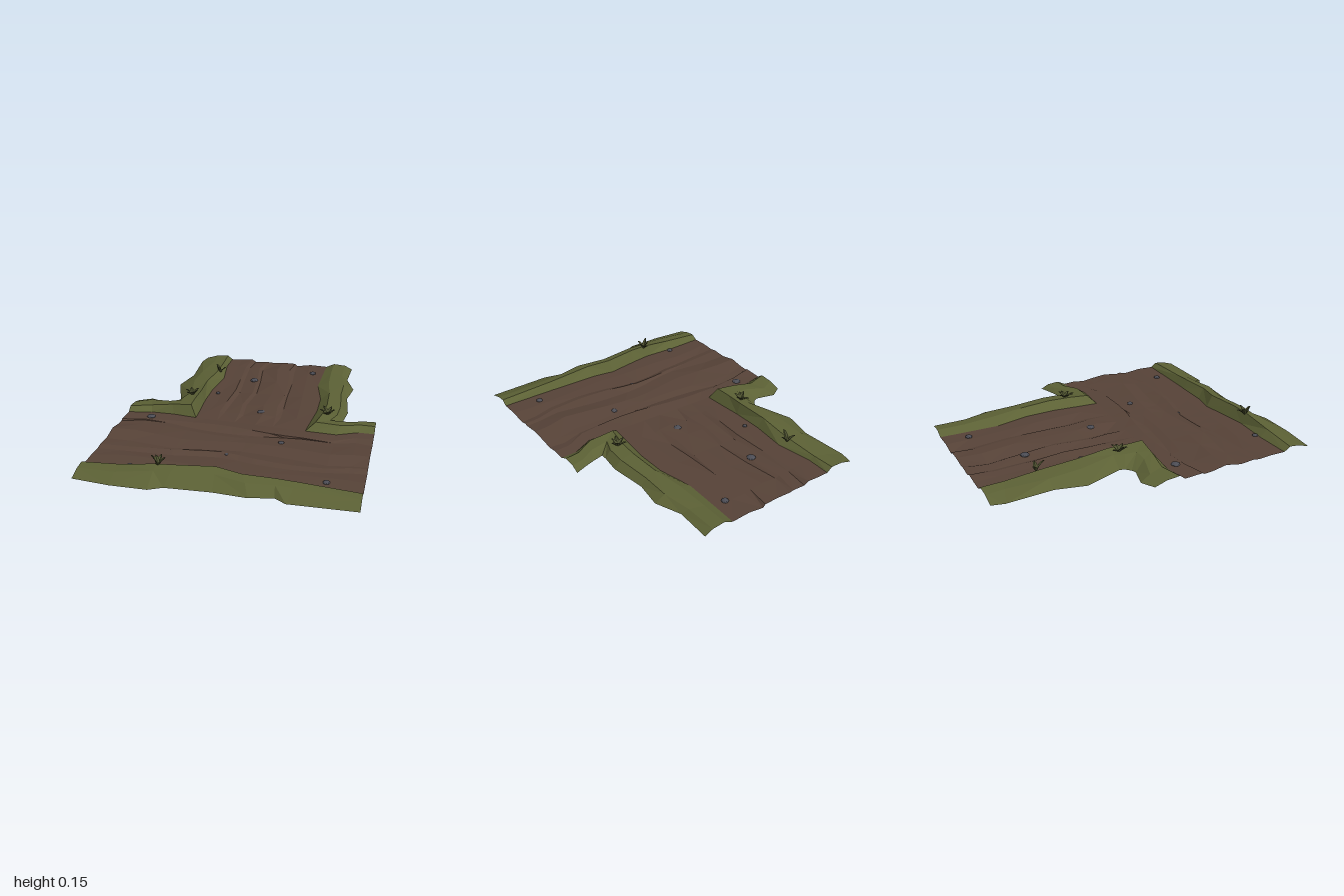
import * as THREE from 'three';

const mat = (name, color) => {
  const m = new THREE.MeshStandardMaterial({ color, flatShading: true, side: THREE.DoubleSide });
  m.name = name;
  return m;
};

let seed = 7;
const rnd = (a, b) => {
  seed = (seed * 16807) % 2147483647;
  return a + (b - a) * (seed / 2147483647);
};

const EDGE = 0.028; // height where dirt meets the banks
const mix = THREE.MathUtils.lerp;

// Skin a grid of [x, y, z] rows as an open faceted sheet
function sheet(rows) {
  const n = rows[0].length, index = [];
  for (let r = 0; r + 1 < rows.length; r++) {
    for (let c = 0; c + 1 < n; c++) {
      const a = r * n + c, b = a + 1, d = a + n, e = d + 1;
      if ((r + c) % 2) index.push(a, d, b, b, d, e);
      else index.push(a, d, e, a, e, b);
    }
  }
  const g = new THREE.BufferGeometry();
  g.setAttribute('position', new THREE.Float32BufferAttribute(rows.flat(2), 3));
  g.setIndex(index);
  const flat = g.toNonIndexed();
  flat.computeVertexNormals();
  return flat;
}

// Bank stations: inner x, inner z, outer x, outer z, crest height
const leftBank = [
  [-0.365, -1, -0.56, -1, 0.055], [-0.37, -0.85, -0.58, -0.92, 0.055],
  [-0.335, -0.62, -0.565, -0.63, 0.07], [-0.36, -0.4, -0.61, -0.44, 0.088],
  [-0.36, -0.2, -0.53, -0.2, 0.1], [-0.35, -0.05, -0.54, -0.17, 0.1],
  [-0.345, 0.07, -0.57, -0.14, 0.1], [-0.5, 0.05, -0.6, -0.13, 0.085],
  [-0.65, 0.05, -0.72, -0.165, 0.058], [-0.8, 0.08, -0.8, -0.12, 0.055],
];
const rightBank = [
  [0.36, -1, 0.55, -1, 0.055], [0.355, -0.85, 0.54, -0.78, 0.055],
  [0.35, -0.62, 0.6, -0.62, 0.064], [0.4, -0.4, 0.575, -0.45, 0.07],
  [0.405, -0.2, 0.605, -0.22, 0.076], [0.39, -0.05, 0.59, -0.1, 0.076],
  [0.375, 0.11, 0.59, -0.06, 0.075], [0.57, 0.12, 0.66, -0.075, 0.068],
  [0.7, 0.06, 0.73, -0.095, 0.058], [0.8, 0.06, 0.8, -0.12, 0.055],
];
const frontBank = [
  [-0.8, 0.79, -0.8, 0.975, 0.055], [-0.57, 0.785, -0.57, 1, 0.07],
  [-0.35, 0.8, -0.35, 1, 0.096], [-0.22, 0.785, -0.27, 0.96, 0.1],
  [-0.02, 0.755, 0, 0.95, 0.1], [0.12, 0.78, 0.2, 0.965, 0.09],
  [0.32, 0.785, 0.34, 0.935, 0.082], [0.45, 0.79, 0.41, 0.98, 0.075],
  [0.8, 0.795, 0.8, 0.975, 0.055],
];

// Cross-section: dirt edge, steep crest, shoulder, outer rim
function bankGeometry(stations, crest, shoulder) {
  return sheet(stations.map(([ix, iz, ox, oz, h], i) => {
    const end = i === 0 || i === stations.length - 1;
    const j = end ? 0 : rnd(-0.06, 0.06);
    const at = (t, y) => [mix(ix, ox, t), y, mix(iz, oz, t)];
    return [at(0, EDGE), at(crest + j, h), at(shoulder + j * 2, mix(0.025, h, 0.8)), at(1, 0.024)];
  }));
}

// Dirt of the side road: ruts run along z
function sideRoadGeometry() {
  const columns = [[0, EDGE], [0.1, 0.03], [0.2, 0.037], [0.24, 0.02], [0.36, 0.031], [0.395, 0.018],
    [0.55, 0.035], [0.67, 0.031], [0.71, 0.017], [0.85, 0.032], [1, EDGE]];
  const rows = leftBank.slice(0, 7).map((l, i) => {
    const r = rightBank[i];
    return columns.map(([u, y], c) => {
      const inside = c > 0 && c < columns.length - 1;
      const t = u + (inside && i < 6 ? 0.02 * Math.sin(i * 2.1 + (c >> 1)) : 0);
      const amp = i === 6 ? 0 : 0.75 + 0.45 * Math.sin(i * 1.7 + c);
      return [mix(l[0], r[0], t), EDGE + (y - EDGE) * amp, mix(l[1], r[1], t)];
    });
  });
  return { geometry: sheet(rows), lastRow: rows[6] };
}

// Dirt of the main road: ridges run along x
function mainRoadGeometry(joint) {
  const ridges = [[0, EDGE], [0.14, 0.038], [0.19, 0.02], [0.27, 0.029], [0.42, 0.043],
    [0.57, 0.025], [0.65, 0.036], [0.71, 0.019], [0.85, 0.031], [1, EDGE]];
  const top = [
    ...leftBank.slice(7).reverse().map((s) => [s[0], s[1]]),
    ...joint.map((p) => [p[0], p[2]]),
    ...rightBank.slice(7).map((s) => [s[0], s[1]]),
  ];
  const bottom = (x) => {
    const i = Math.max(1, frontBank.findIndex((s) => s[0] >= x));
    const a = frontBank[i - 1], b = frontBank[i];
    return mix(a[1], b[1], (x - a[0]) / (b[0] - a[0])) + 0.002;
  };
  return sheet(ridges.map(([t, y], k) => top.map(([x, z], c) => {
    const inside = k > 0 && k < ridges.length - 1;
    const wave = inside ? 0.022 * Math.sin(x * 6 + (k >> 1) * 1.9) : 0;
    const amp = inside ? 0.75 + 0.45 * Math.sin(x * 5 + k * 1.3) : 0;
    return [x, EDGE + (y - EDGE) * amp, mix(z, bottom(x), t) + wave];
  })));
}

// One folded, bent grass blade pointing along +x
function bladeGeometry(len, height) {
  const rows = [[0, 0, 0.009], [0.35, 0.5, 0.014], [0.75, 0.85, 0.009], [1, 1, 0.0005]];
  return sheet(rows.map(([u, v, w]) => [
    [u * len, v * height, -w], [u * len + 0.005, v * height - 0.004, 0], [u * len, v * height, w],
  ]));
}

export function createModel() {
  const dirt = mat('dirt brown', 0x574338);
  const grass = mat('moss green', 0x5c6135);
  const blade = mat('blade green', 0x4e5230);
  const stone = mat('slate grey', 0x4c4d55);
  const model = new THREE.Group();
  model.name = 'dirtRoadJunction';
  const add = (name, geometry, material, parent = model) => {
    const mesh = new THREE.Mesh(geometry, material);
    mesh.name = name;
    parent.add(mesh);
    return mesh;
  };

  // Road surfaces
  const side = sideRoadGeometry();
  add('sideRoad', side.geometry, dirt);
  add('mainRoad', mainRoadGeometry(side.lastRow), dirt);

  // Grassy banks
  add('leftBank', bankGeometry(leftBank, 0.18, 0.6), grass);
  add('rightBank', bankGeometry(rightBank, 0.3, 0.72), grass);
  add('frontBank', bankGeometry(frontBank, 0.22, 0.55), grass);

  // Pebbles: x, y, z, radius
  const pebbles = [
    [-0.63, 0.03, 0.12, 0.028], [0.715, 0.013, 0.13, 0.017], [0.28, 0.03, -0.84, 0.022],
    [-0.11, 0.03, -0.62, 0.028], [-0.305, 0.03, -0.34, 0.014], [0.05, 0.03, -0.1, 0.026],
    [0.26, 0.03, 0.31, 0.02], [-0.025, 0.028, 0.52, 0.014], [0.59, 0.03, 0.72, 0.021],
    [-0.535, 0.028, 0.77, 0.019],
  ];
  for (const [x, y, z, r] of pebbles) {
    const p = add('pebble', new THREE.IcosahedronGeometry(r, 1), stone);
    p.position.set(x, y, z);
    p.scale.y = Math.min(0.75, 0.013 / r);
    p.rotation.y = rnd(0, 6);
  }

  // Grass tufts: x, base y, z, blade count, height
  const tufts = [
    [-0.37, 0.062, -0.655, 3, 0.065], [-0.43, 0.09, -0.15, 6, 0.05],
    [0.49, 0.066, -0.08, 6, 0.048], [-0.34, 0.088, 0.83, 5, 0.066],
  ];
  for (const [x, y, z, count, height] of tufts) {
    const tuft = new THREE.Group();
    tuft.name = 'grassTuft';
    tuft.position.set(x, y, z);
    for (let i = 0; i < count; i++) {
      const b = add('grassBlade', bladeGeometry(rnd(0.03, 0.06), height * rnd(0.55, 1)), blade, tuft);
      b.rotation.y = (i / count) * Math.PI * 2 + rnd(-0.4, 0.4);
    }
    model.add(tuft);
  }
  return model;
}
